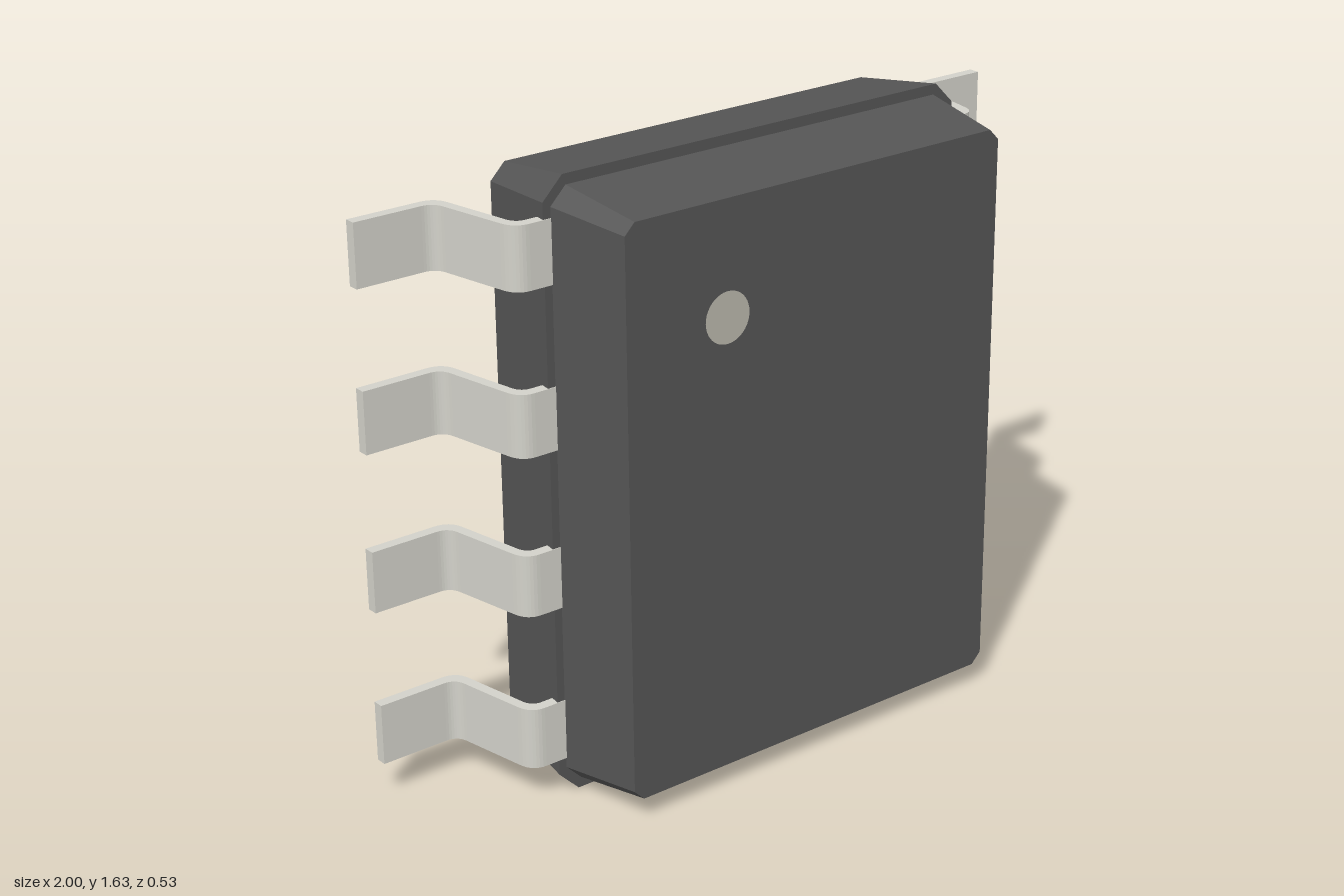
import * as THREE from 'three';
import { ConvexGeometry } from 'three/addons/geometries/ConvexGeometry.js';

const MID_Y = 0.8175;

// Rectangle with chamfered corners: half width w, half height h, chamfer c, at depth z
function chamferedRect(w, h, c, z) {
  return [[w, h - c], [w - c, h], [c - w, h], [-w, h - c],
    [-w, c - h], [c - w, -h], [w - c, -h], [w, c - h]]
    .map(([x, y]) => new THREE.Vector3(x, y + MID_Y, z));
}

// Bent pin: gull-wing section in x and z, extruded along y; side is +1 or -1
function leadGeometry(side, width) {
  const s = new THREE.Shape();
  const line = (x, z) => s.lineTo(side * x, z);
  const bend = (cx, cz, x, z) => s.quadraticCurveTo(side * cx, cz, side * x, z);
  s.moveTo(side * 0.6, 0.032);
  line(0.69, 0.032);
  bend(0.732, 0.032, 0.74, -0.015);
  line(0.773, -0.2);
  bend(0.779, -0.235, 0.812, -0.235);
  line(1, -0.235);
  line(1, -0.265);
  line(0.8, -0.265);
  bend(0.755, -0.265, 0.747, -0.22);
  line(0.714, -0.03);
  bend(0.708, 0.002, 0.68, 0.002);
  line(0.6, 0.002);
  s.closePath();
  const g = new THREE.ExtrudeGeometry(s, { depth: width, bevelEnabled: false, curveSegments: 8 });
  g.translate(0, 0, -width / 2);
  g.rotateX(Math.PI / 2);
  return g;
}

export function createModel() {
  const model = new THREE.Group();
  model.name = 'chipPackage';
  const bodyMat = new THREE.MeshStandardMaterial({ color: 0x555555 });
  const leadMat = new THREE.MeshStandardMaterial({ color: 0xd2d1c9 });
  const dotMat = new THREE.MeshStandardMaterial({ color: 0xbab7ac });

  const add = (name, geometry, material, parent = model) => {
    const mesh = new THREE.Mesh(geometry, material);
    mesh.name = name;
    parent.add(mesh);
    return mesh;
  };

  // Two tapered halves of the moulded body, the back one a little wider
  add('bodyBack', new ConvexGeometry([
    ...chamferedRect(0.65, 0.8175, 0.058, 0.03),
    ...chamferedRect(0.613, 0.78, 0.042, -0.235),
  ]), bodyMat);
  add('bodyFront', new ConvexGeometry([
    ...chamferedRect(0.628, 0.79, 0.045, 0.03),
    ...chamferedRect(0.59, 0.755, 0.029, 0.265),
  ]), bodyMat);

  // Round marker at the first pin
  add('pinOneMark', new THREE.CircleGeometry(0.067, 40), dotMat).position.set(-0.29, 1.275, 0.2665);

  // Four leads on each side
  for (const side of [1, -1]) {
    const row = new THREE.Group();
    row.name = side > 0 ? 'leftLeads' : 'rightLeads';
    const geometry = leadGeometry(side, 0.165);
    for (let i = 0; i < 4; i++) {
      add(`lead${i + 1}`, geometry, leadMat, row).position.y = MID_Y + (i - 1.5) * 0.4233;
    }
    model.add(row);
  }
  return model;
}
